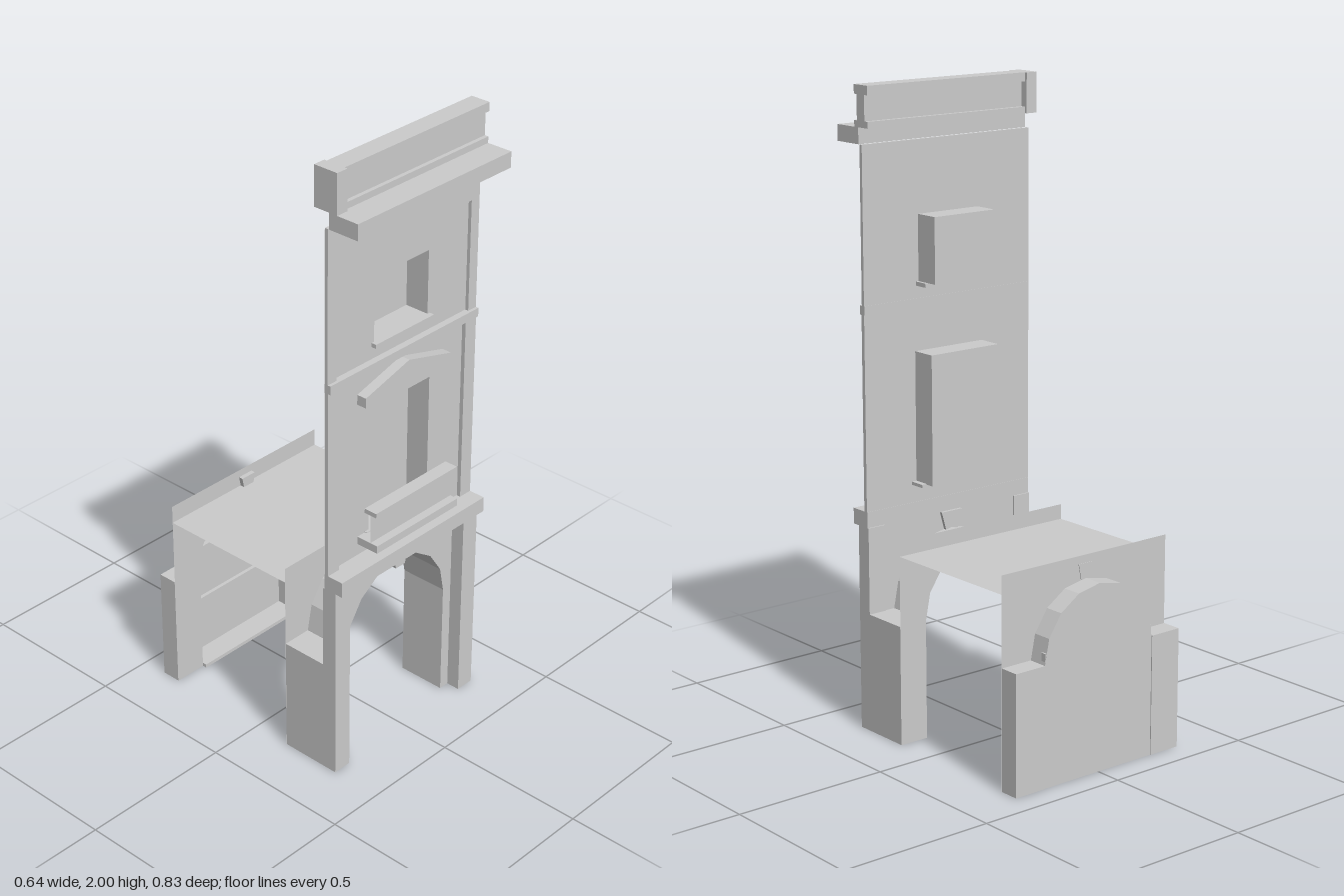
import * as THREE from 'three';

const solid = new THREE.MeshStandardMaterial({ color: 0xcccccc, flatShading: true });
const thin = new THREE.MeshStandardMaterial({ color: 0xcccccc, flatShading: true, side: THREE.DoubleSide });

export function createModel() {
  const model = new THREE.Group();

  const add = (name, geometry, material = solid) => {
    const mesh = new THREE.Mesh(geometry, material);
    mesh.name = name;
    model.add(mesh);
    return mesh;
  };

  // box given by its limits on each axis
  const box = (name, x0, x1, y0, y1, z0, z1) =>
    add(name, new THREE.BoxGeometry(x1 - x0, y1 - y0, z1 - z0))
      .position.set((x0 + x1) / 2, (y0 + y1) / 2, (z0 + z1) / 2);

  // the same box on both sides of the middle
  const pair = (name, x0, x1, ...rest) => {
    box(name + 'Left', x0, x1, ...rest);
    box(name + 'Right', -x1, -x0, ...rest);
  };

  const toShape = pts => new THREE.Shape(pts.map(p => new THREE.Vector2(p[0], p[1])));
  const rect = (w, y0, y1) => [[-w, y0], [w, y0], [w, y1], [-w, y1]];

  // legs and half-round head of an arch
  const arch = (r, spring, steps = 8) => {
    const pts = [[r, 0]];
    for (let i = 0; i <= steps; i++) {
      const a = Math.PI * i / steps;
      pts.push([r * Math.cos(a), spring + r * Math.sin(a)]);
    }
    pts.push([-r, 0]);
    return pts;
  };

  // flat sheet facing z, with openings
  const sheet = (name, pts, z, holes = []) => {
    const shape = toShape(pts);
    holes.forEach(h => shape.holes.push(toShape(h)));
    add(name, new THREE.ShapeGeometry(shape), thin).position.z = z;
  };

  // strip that follows an outline between two depths
  const reveal = (name, pts, z0, z1, closed = false) => {
    const pos = [], index = [], n = pts.length;
    pts.forEach(([x, y]) => pos.push(x, y, z0, x, y, z1));
    for (let i = 0; i < (closed ? n : n - 1); i++) {
      const a = 2 * i, b = 2 * ((i + 1) % n);
      index.push(a, b, a + 1, b, b + 1, a + 1);
    }
    const g = new THREE.BufferGeometry();
    g.setAttribute('position', new THREE.Float32BufferAttribute(pos, 3));
    g.setIndex(index);
    g.computeVertexNormals();
    add(name, g, thin);
  };

  // outline given thickness in z
  const slab = (name, pts, z0, z1) =>
    add(name, new THREE.ExtrudeGeometry(toShape(pts), { depth: z1 - z0, bevelEnabled: false }))
      .position.z = z0;

  // wall sheet around an arch, down to the ground on both sides
  const archWall = (name, pts, top, z) =>
    sheet(name, [[-0.32, 0], ...[...pts].reverse(), [0.32, 0], [0.32, top], [-0.32, top]], z);

  // street arcade: two walls joined by a vault on thick legs
  const frontArch = arch(0.222, 0.38);
  archWall('arcadeFrontWall', frontArch, 0.66, 0.29);
  archWall('arcadeRearWall', frontArch, 0.65, 0.13);
  reveal('arcadeVault', frontArch, 0.13, 0.29);
  pair('arcadeLeg', 0.223, 0.32, 0, 0.38, 0.131, 0.289);
  pair('arcadePilaster', 0.257, 0.32, 0, 0.655, 0.285, 0.335);
  slab('arcadeKeystone', [[-0.02, 0.585], [0.02, 0.585], [0.04, 0.655], [-0.04, 0.655]], 0.28, 0.305);

  // passage ceiling and rear shopfront
  const ceiling = add('passageCeiling', new THREE.PlaneGeometry(0.64, 0.48), thin);
  ceiling.rotation.x = Math.PI / 2;
  ceiling.position.set(0, 0.602, -0.11);
  const rearArch = arch(0.21, 0.378);
  archWall('rearWall', rearArch, 0.66, -0.35);
  reveal('rearArchReveal', rearArch, -0.413, -0.35);
  sheet('rearArchPanel', rearArch, -0.413);
  pair('rearPier', 0.211, 0.32, 0, 0.38, -0.415, -0.351);
  box('rearTransom', -0.208, 0.208, 0.39, 0.415, -0.412, -0.395);
  box('rearMidBar', -0.208, 0.208, 0.205, 0.216, -0.412, -0.4);
  box('rearThreshold', -0.21, 0.21, 0, 0.012, -0.413, -0.335);
  slab('rearKeystone', [[-0.018, 0.585], [0.018, 0.585], [0.028, 0.635], [-0.028, 0.635]], -0.352, -0.335);

  // upper facade with two recessed windows
  const windows = { lower: rect(0.13, 0.77, 1.18), upper: rect(0.115, 1.395, 1.6) };
  sheet('facadeWall', rect(0.32, 0.65, 1.82), 0.291, Object.values(windows));
  for (const [name, pts] of Object.entries(windows)) {
    reveal(name + 'WindowReveal', pts, 0.21, 0.291, true);
    sheet(name + 'WindowPane', pts, 0.21);
  }
  box('lowerWindowSill', -0.147, 0.147, 0.762, 0.772, 0.24, 0.3);
  box('upperWindowSill', -0.125, 0.125, 1.382, 1.395, 0.245, 0.308);

  // facade pilasters and horizontal bands
  pair('lowerPilaster', 0.273, 0.32, 0.7, 1.32, 0.292, 0.305);
  pair('upperPilaster', 0.285, 0.32, 1.34, 1.705, 0.292, 0.303);
  box('frieze', -0.32, 0.32, 1.7, 1.825, 0.292, 0.303);
  box('firstFloorBand', -0.32, 0.32, 0.655, 0.705, 0.29, 0.36);
  box('secondFloorBand', -0.32, 0.32, 1.315, 1.343, 0.29, 0.313);

  // window pediment
  slab('pediment', [[-0.185, 1.22], [0.185, 1.22], [0.185, 1.252], [0, 1.303], [-0.185, 1.252]], 0.292, 0.325);

  // balcony
  box('balconyFloor', -0.18, 0.18, 0.745, 0.77, 0.292, 0.37);
  box('balconyRail', -0.18, 0.18, 0.865, 0.88, 0.32, 0.365);
  sheet('balconyPanel', rect(0.18, 0.77, 0.865), 0.343);

  // cornice and parapet with its end post
  box('cornice', -0.32, 0.32, 1.825, 1.875, 0.308, 0.412);
  box('parapetBase', -0.28, 0.32, 1.875, 1.895, 0.262, 0.327);
  box('parapetPanel', -0.28, 0.32, 1.895, 1.972, 0.277, 0.314);
  box('parapetCap', -0.28, 0.32, 1.972, 2.0, 0.262, 0.327);
  box('parapetPost', -0.32, -0.28, 1.875, 2.0, 0.253, 0.337);

  return model;
}
